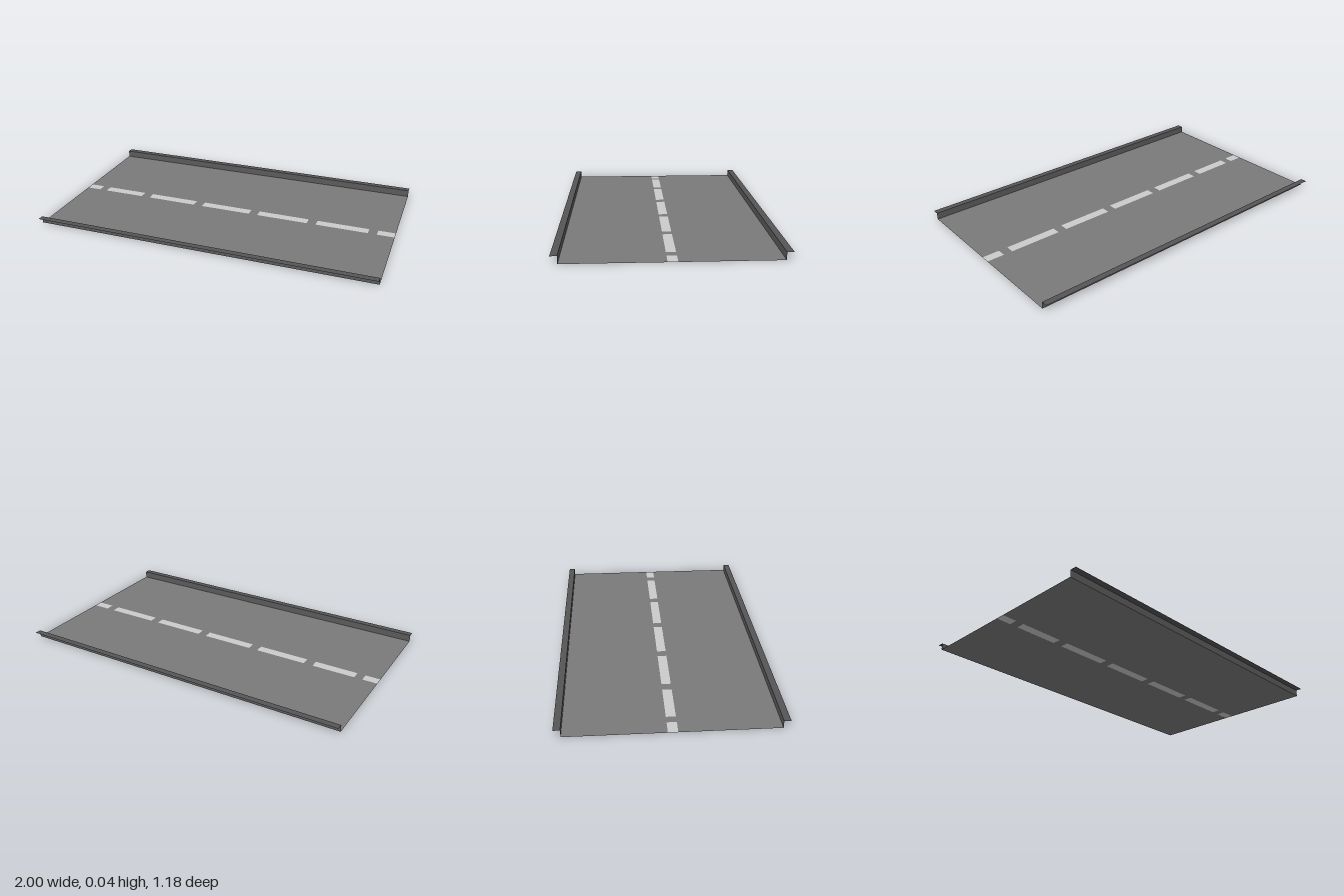
import * as THREE from 'three';

const paint = (color) => new THREE.MeshStandardMaterial({ color, side: THREE.DoubleSide });

export function createModel() {
  const road = new THREE.Group();
  road.name = 'roadSection';
  const asphalt = paint(0x7a7a7a), white = paint(0xcccccc);
  const kerbTop = paint(0x555555), kerbSide = paint(0x5a5a5a);

  const HALF = 0.553;   // half width of the carriageway
  const OUTER = 0.59;   // outer edge of the kerb ledge
  const HEIGHT = 0.04;  // kerb height
  const LINE = 0.026;   // half width of the centre line

  // Flat thin rectangle facing up
  function sheet(name, x0, x1, z0, z1, y, material) {
    const geometry = new THREE.PlaneGeometry(x1 - x0, z1 - z0).rotateX(-Math.PI / 2);
    const mesh = new THREE.Mesh(geometry, material);
    mesh.position.set((x0 + x1) / 2, y, (z0 + z1) / 2);
    mesh.name = name;
    road.add(mesh);
  }

  // Lanes and kerbs, mirrored front to back
  for (const [side, s] of [['front', 1], ['back', -1]]) {
    const span = (a, b) => (s > 0 ? [a, b] : [-b, -a]);
    sheet(side + 'Lane', -1, 1, ...span(LINE, HALF), 0, asphalt);
    sheet(side + 'KerbLedge', -1, 1, ...span(HALF, OUTER), HEIGHT, kerbTop);

    // Upright kerb face, turned towards the carriageway
    const face = new THREE.Mesh(new THREE.PlaneGeometry(2, HEIGHT), kerbSide);
    face.position.set(0, HEIGHT / 2, s * HALF);
    if (s > 0) face.rotation.y = Math.PI;
    face.name = side + 'KerbFace';
    road.add(face);
  }

  // Centre line: dashes set flush in the asphalt, with gaps between them
  const dashes = [
    [-1, -0.913], [-0.865, -0.61], [-0.554, -0.247], [-0.192, 0.117],
    [0.171, 0.481], [0.535, 0.845], [0.898, 1],
  ];
  dashes.forEach(([x0, x1], i) => {
    sheet('centreDash' + (i + 1), x0, x1, -LINE, LINE, 0, white);
    if (i < dashes.length - 1) {
      sheet('centreGap' + (i + 1), x1, dashes[i + 1][0], -LINE, LINE, 0, asphalt);
    }
  });

  return road;
}
